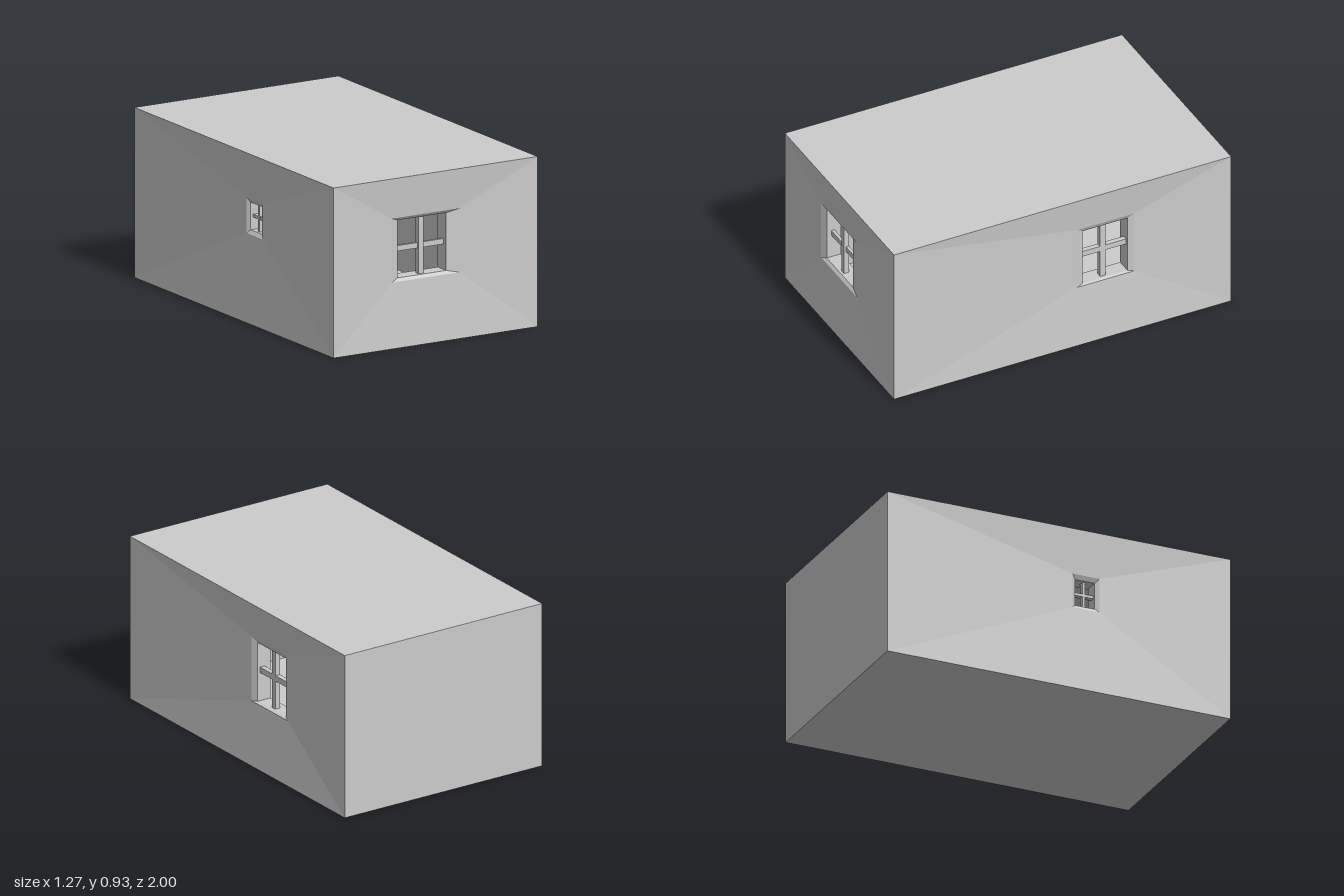
import * as THREE from 'three';

const W = 1.266, D = 2, H = 0.928; // outer size
const T = 0.12, SLAB = 0.06;       // wall and floor/ceiling thickness
const mat = new THREE.MeshStandardMaterial({ color: 0xcccccc, flatShading: true });

function add(parent, name, geometry, x = 0, y = 0, z = 0) {
  const mesh = new THREE.Mesh(geometry, mat);
  mesh.name = name;
  mesh.position.set(x, y, z);
  parent.add(mesh);
  return mesh;
}

// Joins a series of rectangles [x0, x1, y0, y1, depth] with flat quads
function loftRects(rects) {
  const corners = ([x0, x1, y0, y1, d]) => [[x0, y0, -d], [x1, y0, -d], [x1, y1, -d], [x0, y1, -d]];
  const pos = [];
  for (let r = 0; r + 1 < rects.length; r++) {
    const a = corners(rects[r]), b = corners(rects[r + 1]);
    for (let i = 0; i < 4; i++) {
      const j = (i + 1) % 4;
      pos.push(...a[i], ...a[j], ...b[j], ...a[i], ...b[j], ...b[i]);
    }
  }
  const g = new THREE.BufferGeometry();
  g.setAttribute('position', new THREE.Float32BufferAttribute(pos, 3));
  g.computeVertexNormals();
  return g;
}

// A wall dished gently towards a bevelled window opening with crossed glazing bars.
// Local x runs along the wall, local z points outwards.
function windowWall(name, half, turn, distance, { ring, hole, vBar, hBar, step }) {
  const wall = new THREE.Group();
  wall.name = name;
  wall.rotation.y = turn;
  wall.position.set(Math.sin(turn) * distance, 0, Math.cos(turn) * distance);
  add(wall, name + 'Surface', loftRects([
    [-half, half, 0, H, 0],
    [...ring, 0.022],
    [...hole, 0.035],
    [...hole, T],
    [-half + T, half - T, SLAB, H - SLAB, T],
  ]));
  const [x0, x1, y0, y1] = hole, t = 0.03;
  add(wall, 'verticalBar', new THREE.BoxGeometry(vBar[1] - vBar[0], y1 - y0, t),
    (vBar[0] + vBar[1]) / 2, (y0 + y1) / 2, -0.05 - t / 2);
  add(wall, 'horizontalBar', new THREE.BoxGeometry(x1 - x0, hBar[1] - hBar[0], t - step),
    (x0 + x1) / 2, (hBar[0] + hBar[1]) / 2, -0.05 - step - (t - step) / 2);
  return wall;
}

export function createModel() {
  const room = new THREE.Group();
  room.name = 'room';

  // Walls with windows
  room.add(windowWall('frontWall', W / 2, 0, D / 2, {
    ring: [-0.256, 0.164, 0.356, 0.705], hole: [-0.215, 0.087, 0.373, 0.688],
    vBar: [-0.075, -0.045], hBar: [0.511, 0.541], step: 0.012,
  }));
  room.add(windowWall('leftWall', D / 2, Math.PI / 2, W / 2, {
    ring: [0.1, 0.436, 0.358, 0.727], hole: [0.137, 0.403, 0.364, 0.7],
    vBar: [0.249, 0.281], hBar: [0.524, 0.556], step: 0.001,
  }));
  room.add(windowWall('rightWall', D / 2, -Math.PI / 2, W / 2, {
    ring: [0.09, 0.246, 0.48, 0.675], hole: [0.11, 0.225, 0.5, 0.65],
    vBar: [0.16, 0.176], hBar: [0.567, 0.583], step: 0.001,
  }));

  // Plain back wall, outer and inner faces
  add(room, 'backWallOuter', new THREE.PlaneGeometry(W, H), 0, H / 2, -D / 2).rotation.y = Math.PI;
  add(room, 'backWallInner', new THREE.PlaneGeometry(W - 2 * T, H - 2 * SLAB), 0, H / 2, -D / 2 + T);

  // Roof, ceiling, floor and underside
  const outer = new THREE.PlaneGeometry(W, D);
  const inner = new THREE.PlaneGeometry(W - 2 * T, D - 2 * T);
  add(room, 'roof', outer, 0, H, 0).rotation.x = -Math.PI / 2;
  add(room, 'ceiling', inner, 0, H - SLAB, 0).rotation.x = Math.PI / 2;
  add(room, 'floor', inner, 0, SLAB, 0).rotation.x = -Math.PI / 2;
  add(room, 'underside', outer, 0, 0, 0).rotation.x = Math.PI / 2;

  return room;
}
